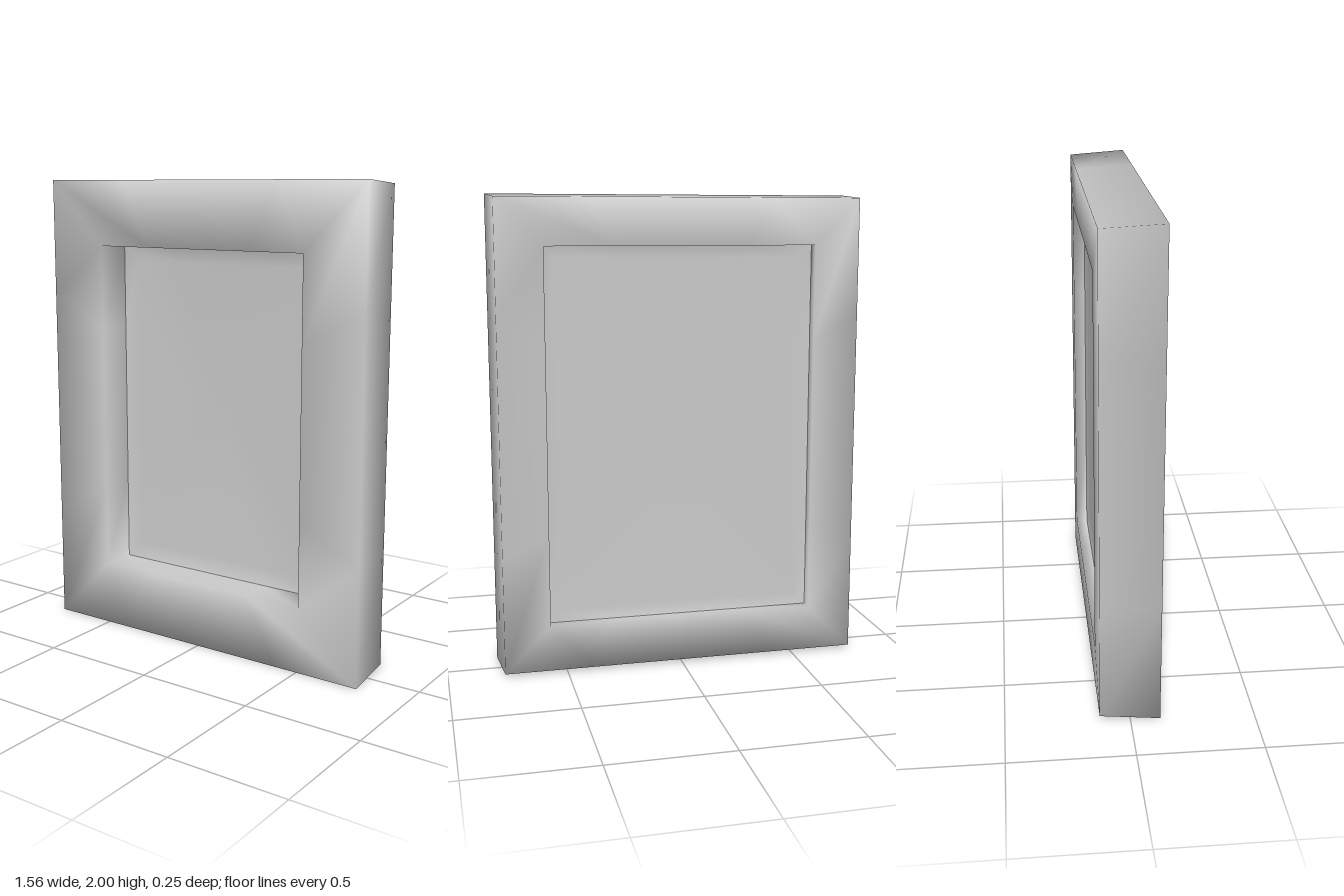
import * as THREE from 'three';

const STEPS = 4; // segments along each side of a rectangular ring

// Point on a rectangle centred on y = 1, counterclockwise seen from the front
function ringPoint([hx, hy, z], i) {
  const corners = [[1, -1], [1, 1], [-1, 1], [-1, -1]];
  const side = Math.floor(i / STEPS), t = (i % STEPS) / STEPS;
  const a = corners[side], b = corners[(side + 1) % 4];
  return [hx * (a[0] + (b[0] - a[0]) * t), 1 + hy * (a[1] + (b[1] - a[1]) * t), z];
}

// Smooth skin over successive rectangles [half width, half height, z]
function loft(rings) {
  const n = STEPS * 4, position = [], index = [];
  for (const ring of rings) {
    for (let i = 0; i < n; i++) position.push(...ringPoint(ring, i));
  }
  for (let r = 0; r < rings.length - 1; r++) {
    for (let i = 0; i < n; i++) {
      const j = (i + 1) % n;
      const a0 = r * n + i, a1 = r * n + j, b0 = a0 + n, b1 = a1 + n;
      index.push(a0, b0, b1, a0, b1, a1);
    }
  }
  const geometry = new THREE.BufferGeometry();
  geometry.setAttribute('position', new THREE.Float32BufferAttribute(position, 3));
  geometry.setIndex(index);
  geometry.computeVertexNormals();
  return geometry;
}

export function createModel() {
  const group = new THREE.Group();
  group.name = 'pictureFrame';
  const material = new THREE.MeshStandardMaterial({ color: 0xcccccc });
  const add = (name, geometry) => {
    const mesh = new THREE.Mesh(geometry, material);
    mesh.name = name;
    group.add(mesh);
  };

  // Moulding: deep front opening, tapered sides, wider shallow opening behind
  add('frame', loft([
    [0.505, 0.72, -0.035],
    [0.505, 0.72, 0.12],
    [0.78, 1.0, 0.12],
    [0.765, 0.985, -0.122],
    [0.57, 0.79, -0.125],
    [0.57, 0.79, -0.075],
  ]));

  // Thin panel set toward the back, with a soft fillet around its rim
  add('frontPanel', loft([
    [0, 0, -0.058],
    [0.44, 0.65, -0.056],
    [0.505, 0.72, -0.035],
  ]));
  add('backPanel', loft([
    [0.57, 0.79, -0.075],
    [0.52, 0.74, -0.064],
    [0, 0, -0.063],
  ]));

  return group;
}
